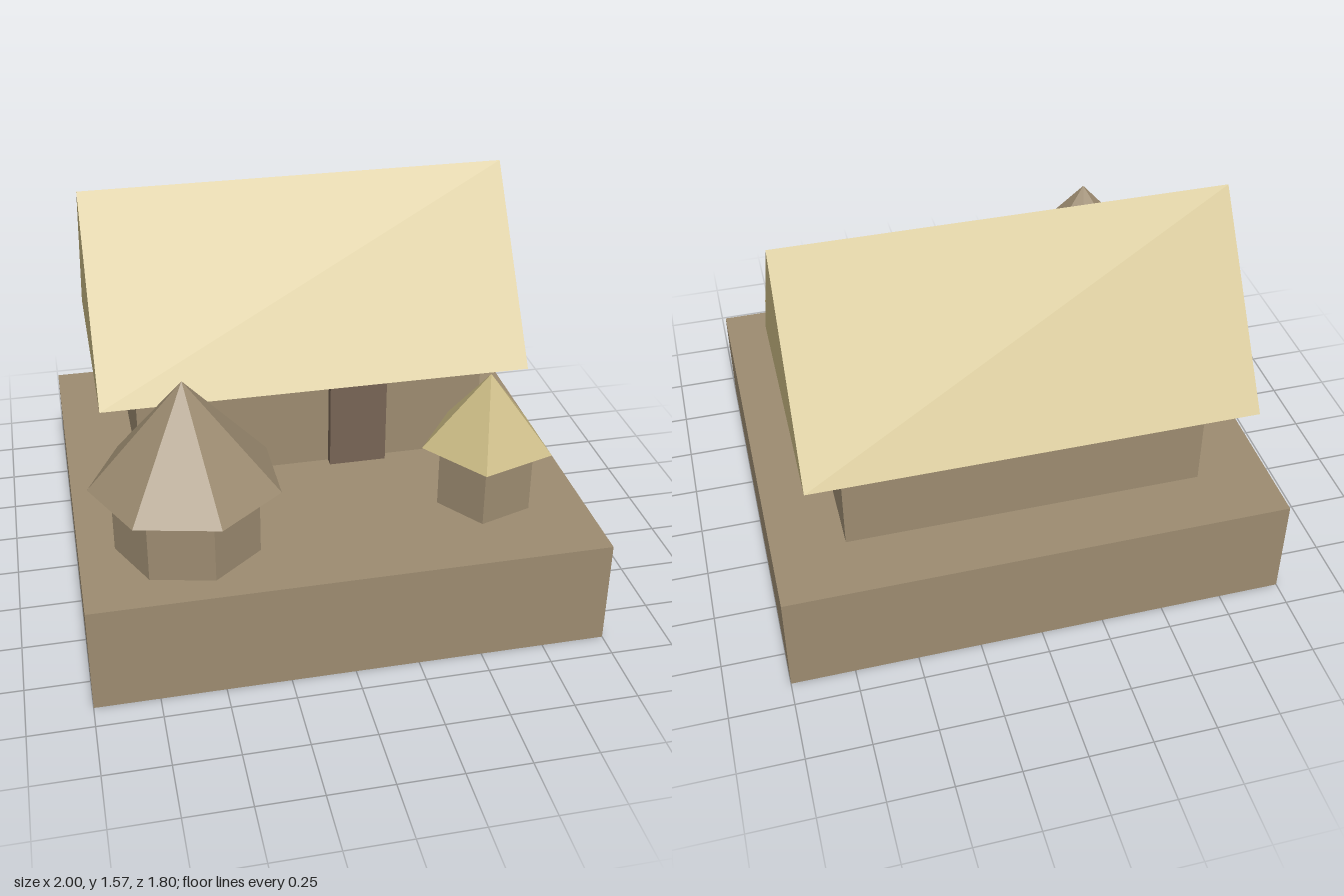
import * as THREE from 'three';

const stone = new THREE.MeshStandardMaterial({ color: 0x9c8b70, flatShading: true });
stone.name = 'stone';
const thatch = new THREE.MeshStandardMaterial({ color: 0xc8b882, flatShading: true });
thatch.name = 'thatch';
const wood = new THREE.MeshStandardMaterial({ color: 0x776454, flatShading: true });
wood.name = 'wood';

const GROUND = 0.435;

function mesh(name, geometry, material, x, y, z) {
  const m = new THREE.Mesh(geometry, material);
  m.name = name;
  m.position.set(x, y, z);
  return m;
}

// Box given by its centre in x and z and its bottom and top heights
function block(name, material, width, depth, x, z, bottom, top) {
  const h = top - bottom;
  return mesh(name, new THREE.BoxGeometry(width, h, depth), material, x, bottom + h / 2, z);
}

// Many-sided hut with a pointed roof, one corner facing -x
function hut(name, sides, x, z, bodyRadius, roofRadius, eaves, peak, roofMaterial) {
  const g = new THREE.Group();
  g.name = name;
  const h = eaves - GROUND, start = -Math.PI / 2;
  g.add(
    mesh('hutWalls', new THREE.CylinderGeometry(bodyRadius, bodyRadius, h, sides, 1, false, start),
      stone, x, GROUND + h / 2, z),
    mesh('hutRoof', new THREE.ConeGeometry(roofRadius, peak - eaves, sides, 1, false, start),
      roofMaterial, x, (eaves + peak) / 2, z),
  );
  return g;
}

// Gabled roof: a triangle extruded along x
function gableRoof(length, depth, height) {
  const s = new THREE.Shape();
  s.moveTo(-depth / 2, 0);
  s.lineTo(depth / 2, 0);
  s.lineTo(0, height);
  s.closePath();
  const g = new THREE.ExtrudeGeometry(s, { depth: length, bevelEnabled: false });
  g.translate(0, 0, -length / 2);
  g.rotateY(Math.PI / 2);
  return g;
}

export function createModel() {
  const model = new THREE.Group();
  model.name = 'village';

  // Platform
  model.add(block('platform', stone, 2, 1.8, 0, 0, 0, GROUND));

  // Long house
  const house = new THREE.Group();
  house.name = 'longHouse';
  house.add(
    block('houseWalls', stone, 1.43, 0.71, 0, -0.285, GROUND, 0.86),
    mesh('houseRoof', gableRoof(1.73, 1.01, 0.71), thatch, 0, 0.86, -0.285),
    block('door', wood, 0.235, 0.04, 0.1875, 0.09, GROUND, 0.81),
  );
  model.add(house);

  // Round huts
  model.add(
    hut('largeHut', 7, -0.575, 0.52, 0.285, 0.37, 0.71, 1.13, stone),
    hut('smallHut', 5, 0.617, 0.472, 0.19, 0.263, 0.70, 1.0, thatch),
  );
  return model;
}
